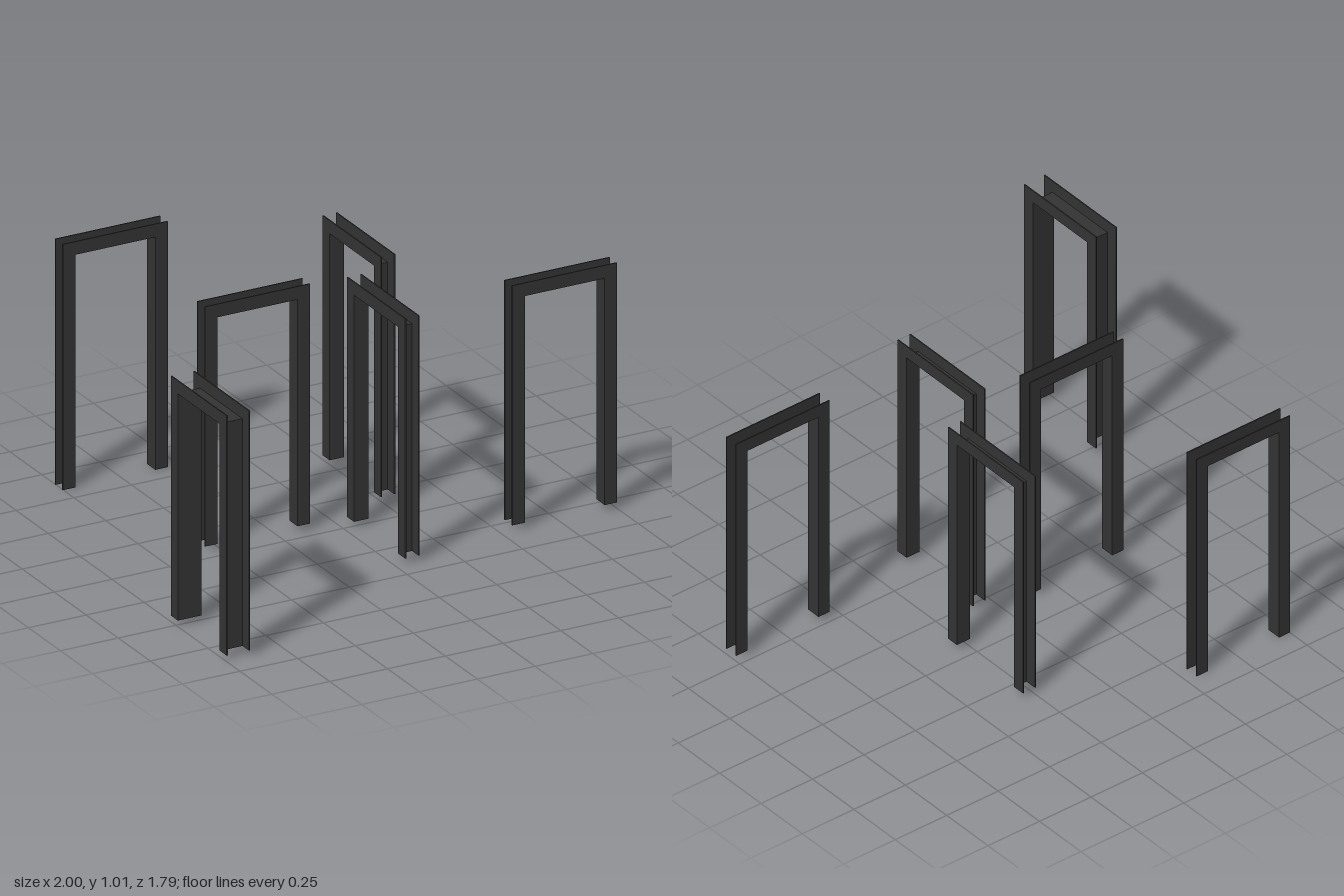
import * as THREE from 'three';

const TOP = 1.014, CASING = 0.054, CASING_T = 0.005, JAMB_T = 0.003;
const material = new THREE.MeshStandardMaterial({ color: 0x333333, side: THREE.DoubleSide });

// Upside-down U around an opening, extruded along z and centred on it
function archGeometry(innerHalf, bottom, innerTop, border, depth) {
  const o = innerHalf + border, i = innerHalf;
  const shape = new THREE.Shape([
    [-o, bottom], [-i, bottom], [-i, innerTop], [i, innerTop],
    [i, bottom], [o, bottom], [o, innerTop + border], [-o, innerTop + border],
  ].map(([x, y]) => new THREE.Vector2(x, y)));
  return new THREE.ExtrudeGeometry(shape, { depth, bevelEnabled: false }).translate(0, 0, -depth / 2);
}

// Door frame: thin jamb lining with a flat casing on each face of the wall
function doorFrame(width, depth, bottom) {
  const frame = new THREE.Group();
  const innerHalf = width / 2 - CASING, innerTop = TOP - CASING;
  const add = (name, geometry, z) => {
    const mesh = new THREE.Mesh(geometry, material);
    mesh.name = name;
    mesh.position.z = z;
    frame.add(mesh);
  };
  add('jamb', archGeometry(innerHalf, bottom, innerTop, JAMB_T, depth - 2 * CASING_T), 0);
  const casing = archGeometry(innerHalf, bottom, innerTop, CASING, CASING_T);
  add('frontCasing', casing, (depth - CASING_T) / 2);
  add('backCasing', casing, -(depth - CASING_T) / 2);
  return frame;
}

export function createModel() {
  const model = new THREE.Group();
  model.name = 'doorFrames';
  // name, x, z, width, wall depth, bottom, turned sideways
  const frames = [
    ['backDoorFrame', -0.525, -0.864, 0.454, 0.063, 0, false],
    ['middleDoorFrame', -0.342, -0.083, 0.454, 0.063, 0.025, false],
    ['leftDoorFrame', 0.773, 0.304, 0.454, 0.063, 0.025, false],
    ['backSideDoorFrame', 0.273, -0.369, 0.454, 0.063, 0.025, true],
    ['centreSideDoorFrame', 0.07, 0.188, 0.454, 0.063, 0.025, true],
    ['entranceDoorFrame', -0.949, 0.678, 0.435, 0.102, 0.025, true],
  ];
  for (const [name, x, z, width, depth, bottom, sideways] of frames) {
    const frame = doorFrame(width, depth, bottom);
    frame.name = name;
    frame.position.set(x, 0, z);
    if (sideways) frame.rotation.y = Math.PI / 2;
    model.add(frame);
  }
  return model;
}
